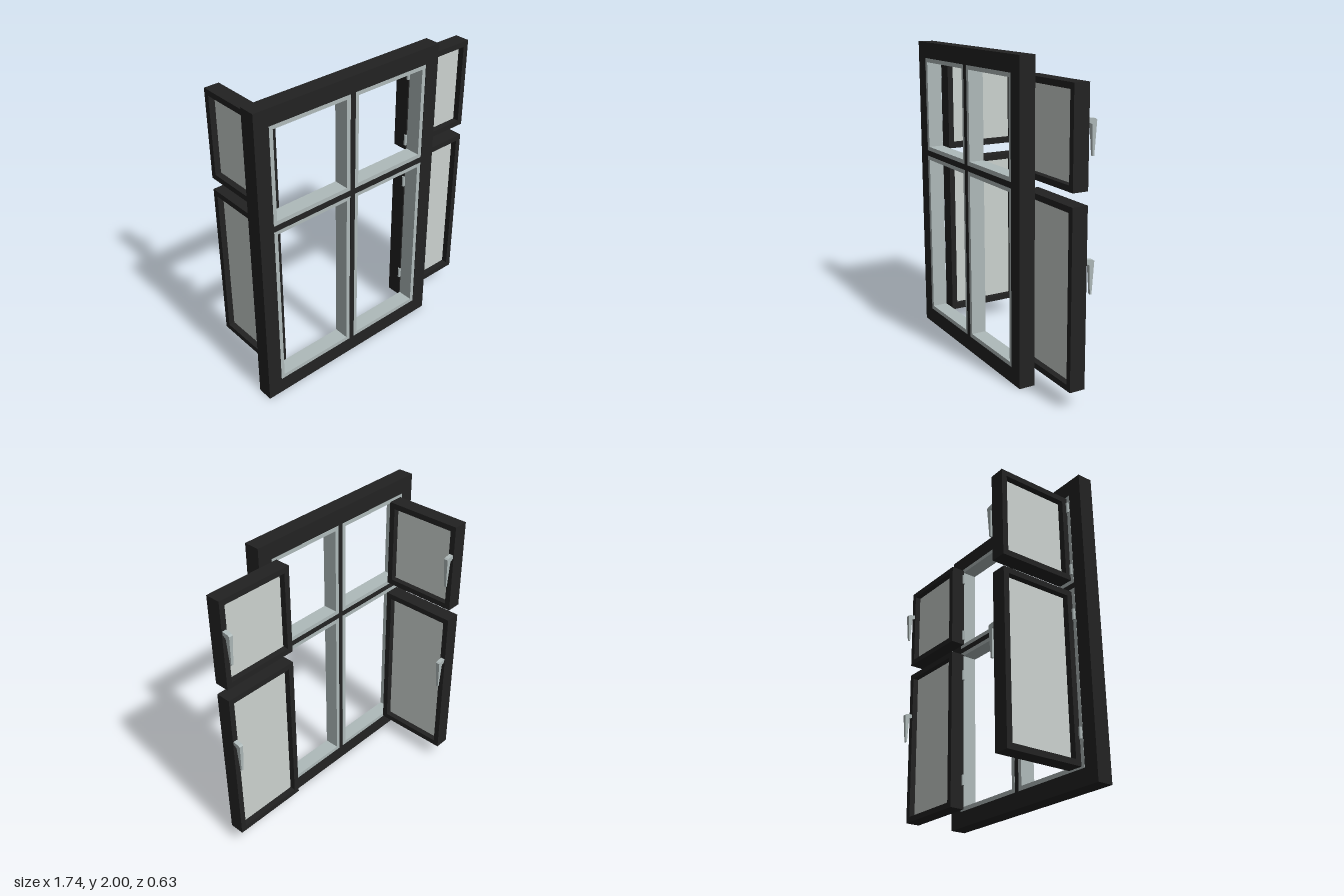
import * as THREE from 'three';

const dark = new THREE.MeshStandardMaterial({ color: 0x222222 });
const trim = new THREE.MeshStandardMaterial({ color: 0xafbaba });
const pane = new THREE.MeshStandardMaterial({ color: 0xccd2cf, side: THREE.DoubleSide });

const BACK = 0.215, FRONT = 0.318; // depth of the fixed frame
const SASH_W = 0.52, SASH_D = 0.1, BORDER = 0.037;

function add(parent, name, geometry, material, x = 0, y = 0, z = 0) {
  const mesh = new THREE.Mesh(geometry, material);
  mesh.name = name;
  mesh.position.set(x, y, z);
  parent.add(mesh);
  return mesh;
}

function rect(T, x0, x1, y0, y1) {
  return new T([[x0, y0], [x1, y0], [x1, y1], [x0, y1]].map(p => new THREE.Vector2(...p)));
}

// Rectangular plate with rectangular openings, each given as [x0, x1, y0, y1]
function framePlate(outer, holes, depth) {
  const shape = rect(THREE.Shape, ...outer);
  holes.forEach(h => shape.holes.push(rect(THREE.Path, ...h)));
  return new THREE.ExtrudeGeometry(shape, { depth, bevelEnabled: false });
}

const inset = ([x0, x1, y0, y1], t) => [x0 + t, x1 - t, y0 + t, y1 - t];

// Lever handle: side profile (outward, up), narrowing towards its lower end
function handleGeometry() {
  const profile = [[0, 0], [0, -0.026], [0.022, -0.036], [0.032, -0.212],
    [0.043, -0.212], [0.054, -0.014], [0.045, -0.006]];
  const shape = new THREE.Shape(profile.map(p => new THREE.Vector2(...p)));
  const width = 0.028;
  const g = new THREE.ExtrudeGeometry(shape, { depth: width, bevelEnabled: false });
  g.translate(0, 0, -width / 2);
  const pos = g.attributes.position;
  for (let i = 0; i < pos.count; i++) {
    pos.setZ(i, pos.getZ(i) * (1 + 2.2 * pos.getY(i)));
  }
  g.rotateY(-Math.PI / 2); // outward becomes +z
  g.computeVertexNormals();
  return g;
}

// Sash hung at its local origin; dir is the side it extends to when closed
function sash(name, dir, y0, y1, handleTop) {
  const group = new THREE.Group();
  group.name = name;
  const outer = dir > 0 ? [0, SASH_W, y0, y1] : [-SASH_W, 0, y0, y1];
  add(group, 'sashFrame', framePlate(outer, [inset(outer, BORDER)], SASH_D), dark);
  add(group, 'glass', new THREE.BoxGeometry(SASH_W - 2 * BORDER, y1 - y0 - 2 * BORDER, 0.02),
    pane, dir * SASH_W / 2, (y0 + y1) / 2, SASH_D / 2);
  add(group, 'handle', handleGeometry(), trim, dir * 0.502, handleTop, SASH_D);
  return group;
}

export function createModel() {
  const model = new THREE.Group();
  model.name = 'window';

  // Fixed frame with four openings
  const openings = [];
  for (const [x0, x1] of [[-0.775, -0.207], [-0.172, 0.384]]) {
    for (const [y0, y1] of [[0.103, 1.228], [1.265, 1.895]]) openings.push([x0, x1, y0, y1]);
  }
  add(model, 'outerFrame', framePlate([-0.872, 0.483, 0, 2], openings, FRONT - BACK), dark, 0, 0, BACK);

  // Pale lining inside each opening
  for (const o of openings) {
    add(model, 'lining', framePlate(o, [inset(o, 0.027)], FRONT - BACK - 0.002), trim, 0, 0, BACK - 0.001);
  }

  // Opened sashes and their hinges, lower row then upper row
  const rows = [
    { name: 'lower', y0: 0.113, y1: 1.206, handle: 0.894, hinges: [0.305, 1.05] },
    { name: 'upper', y0: 1.286, y1: 1.88, handle: 1.688, hinges: [1.355, 1.805] },
  ];
  for (const r of rows) {
    const right = sash(r.name + 'RightSash', 1, r.y0, r.y1, r.handle);
    right.position.set(-0.754, 0, 0.21);
    right.rotation.y = Math.PI / 2;
    const left = sash(r.name + 'LeftSash', -1, r.y0, r.y1, r.handle);
    left.position.set(0.35, 0, 0.212);
    left.rotation.y = Math.PI;
    model.add(right, left);
    for (const y of r.hinges) {
      for (const x of [-0.762, 0.35]) {
        add(model, 'hinge', new THREE.CylinderGeometry(0.01, 0.01, 0.07, 12), trim, x, y, 0.208);
      }
    }
  }
  return model;
}
